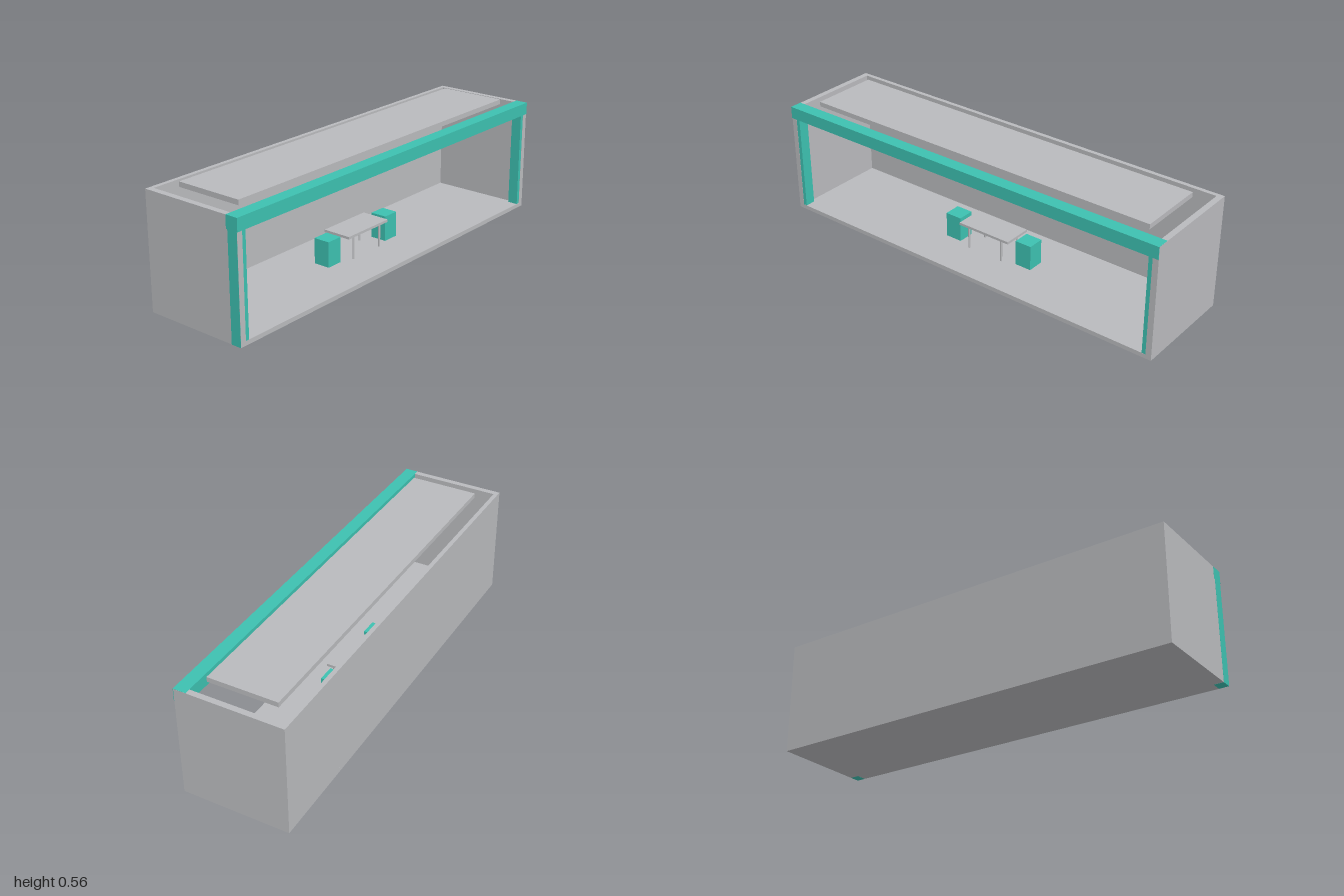
import * as THREE from 'three';

export function createModel() {
  const group = new THREE.Group();
  const grey = new THREE.MeshStandardMaterial({ color: 0xb9babd });
  grey.name = 'grey panel';
  const teal = new THREE.MeshStandardMaterial({ color: 0x3dc0b0 });
  teal.name = 'teal trim';

  // Box given by its low and high corners
  function box(name, material, x0, x1, y0, y1, z0, z1) {
    const mesh = new THREE.Mesh(new THREE.BoxGeometry(x1 - x0, y1 - y0, z1 - z0), material);
    mesh.position.set((x0 + x1) / 2, (y0 + y1) / 2, (z0 + z1) / 2);
    mesh.name = name;
    group.add(mesh);
  }

  // Open-fronted shell
  const H = 0.534;
  box('floor', grey, -1, 1, 0, 0.02, -0.25, 0.25);
  box('backWall', grey, -0.973, 0.973, 0.02, H, -0.25, -0.23);
  box('leftWall', grey, 0.973, 1, 0.02, H, -0.25, 0.25);
  box('rightWall', grey, -1, -0.973, 0.02, H, -0.25, 0.25);

  // Front frame: posts set just behind the wall edges, beam just proud of them
  box('leftPost', teal, 0.955, 0.9995, -0.0004, 0.477, 0.2, 0.2494);
  box('rightPost', teal, -1.0005, -0.955, -0.0004, 0.477, 0.2, 0.2494);
  box('frontBeam', teal, -1.0005, 0.9995, 0.477, H + 0.0006, 0.193, 0.2525);

  // Raised roof panel over the open top
  box('roofPanel', grey, -0.9, 0.9, 0.533, 0.556, -0.163, 0.162);

  // Table
  box('tableTop', grey, -0.138, 0.138, 0.128, 0.14, -0.07, 0.07);
  const legGeometry = new THREE.CylinderGeometry(0.005, 0.005, 0.108, 12);
  for (const x of [-0.092, 0.092]) {
    for (const z of [-0.058, 0.058]) {
      const leg = new THREE.Mesh(legGeometry, grey);
      leg.position.set(x, 0.074, z);
      leg.name = 'tableLeg';
      group.add(leg);
    }
  }

  // Block stools on either side
  for (const s of [-1, 1]) {
    box('stool', teal, s * 0.2 - 0.041, s * 0.2 + 0.041, 0.02, 0.14, -0.04, 0.04);
  }
  return group;
}
